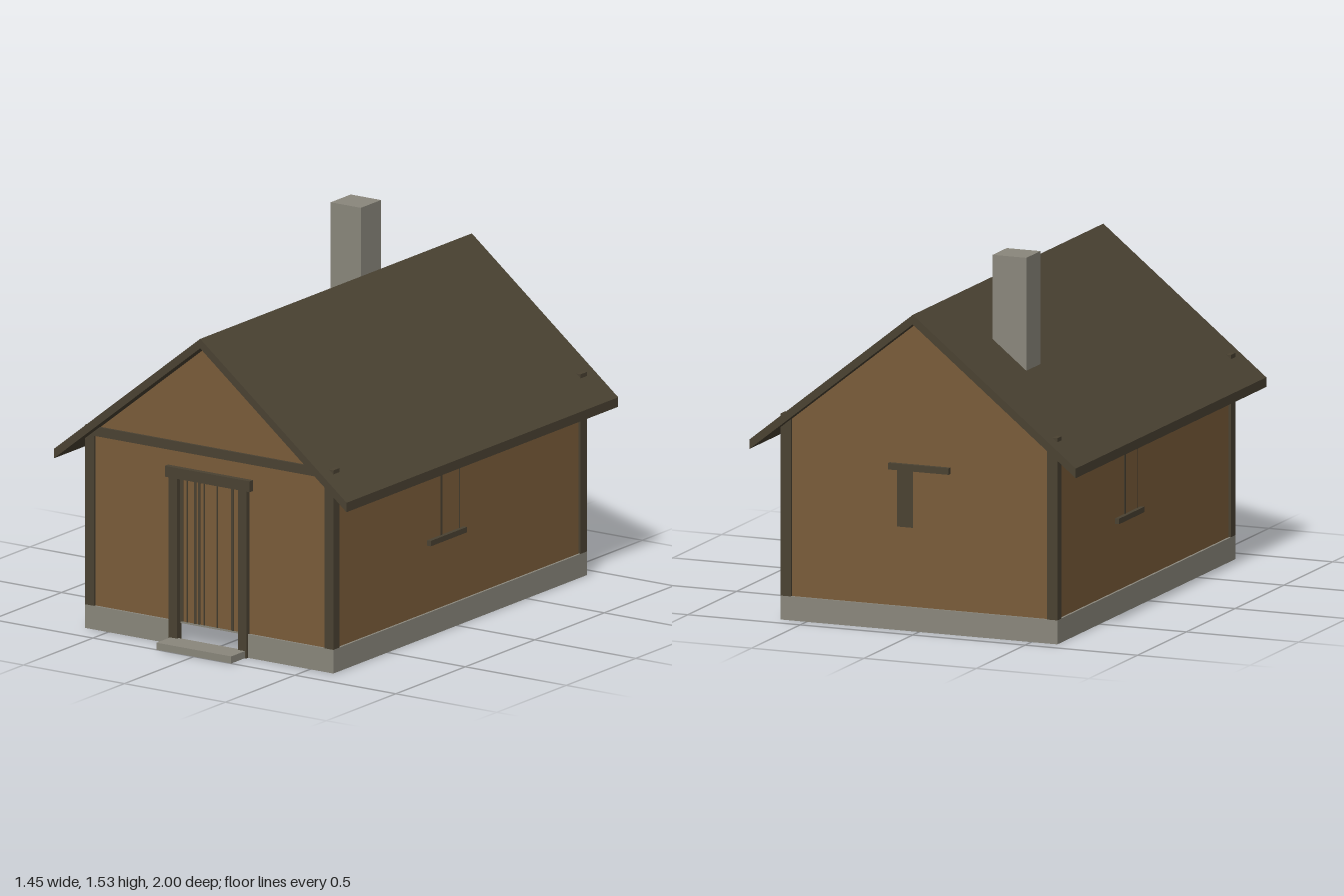
import * as THREE from 'three';

const mat = (name, color) => {
  const m = new THREE.MeshStandardMaterial({ color });
  m.name = name;
  return m;
};

export function createModel() {
  const house = new THREE.Group();
  house.name = 'cottage';
  const plaster = mat('ochreWall', 0x7a5c3a);
  const timber = mat('darkTimber', 0x4a4232);
  const stone = mat('greyStone', 0x8a877c);

  // Box given by its minimum and maximum corners
  const box = (name, m, x0, x1, y0, y1, z0, z1) => {
    const mesh = new THREE.Mesh(new THREE.BoxGeometry(x1 - x0, y1 - y0, z1 - z0), m);
    mesh.position.set((x0 + x1) / 2, (y0 + y1) / 2, (z0 + z1) / 2);
    mesh.name = name;
    house.add(mesh);
  };
  // Outline in x and y, run along z
  const prism = (name, m, points, z0, z1) => {
    const shape = new THREE.Shape(points.map(([x, y]) => new THREE.Vector2(x, y)));
    const geo = new THREE.ExtrudeGeometry(shape, { depth: z1 - z0, bevelEnabled: false });
    const mesh = new THREE.Mesh(geo, m);
    mesh.position.z = z0;
    mesh.name = name;
    house.add(mesh);
  };

  const front = 0.89, back = -0.935, side = 0.615;

  // Hollow foundation with a gap under the door, and the floor above it
  const t = 0.015;
  box('foundationBack', stone, -side, side, 0, 0.1, back, back + t);
  for (const s of [-1, 1]) {
    const [a, b] = [s * side, s * (side - t)].sort((p, q) => p - q);
    box('foundationSide', stone, a, b, 0, 0.1, back + t, front - t);
    const [c, d] = [s * 0.155, s * side].sort((p, q) => p - q);
    box('foundationFront', stone, c, d, 0, 0.1, front - t, front);
  }
  box('floor', stone, -side + t, side - t, 0.09, 0.1, back + t, front - t);
  box('doorStep', stone, -0.185, 0.185, 0, 0.03, front, 1);

  // Walls with gables
  prism('walls', plaster,
    [[-0.605, 0.1], [0.605, 0.1], [0.605, 0.82], [0, 1.3], [-0.605, 0.82]],
    back + 0.01, front - 0.01);

  // Corner posts, just breaking through the roof
  for (const s of [-1, 1]) {
    const [a, b] = [s * 0.57, s * side].sort((p, q) => p - q);
    box('cornerPostFront', timber, a, b, 0.1, 0.86, front - 0.045, front);
    box('cornerPostBack', timber, a, b, 0.1, 0.86, back, back + 0.045);
  }
  box('gableBeam', timber, -0.57, 0.57, 0.82, 0.86, front - 0.04, front);

  // Roof with plumb-cut eaves
  prism('roof', timber,
    [[-0.725, 0.715], [0, 1.295], [0.725, 0.715], [0.725, 0.755], [0, 1.335], [-0.725, 0.755]],
    -1, 0.955);
  box('chimney', stone, -0.345, -0.195, 0.95, 1.53, -0.63, -0.485);

  // Door frame and dark plank joints
  for (const s of [-1, 1]) {
    const [a, b] = [s * 0.152, s * 0.193].sort((p, q) => p - q);
    box('doorPost', timber, a, b, 0, 0.71, front - 0.02, front + 0.012);
  }
  box('doorLintel', timber, -0.21, 0.21, 0.707, 0.753, front - 0.02, front + 0.014);
  for (const [x, w] of [[-0.142, 0.015], [-0.115, 0.006], [-0.075, 0.01], [-0.055, 0.008], [-0.03, 0.005], [0.035, 0.005], [0.11, 0.012]])
    box('doorPlankJoint', timber, x - w / 2, x + w / 2, 0.1, 0.705, front - 0.012, front - 0.007);

  // Side windows: lintel, sill and shutter joints
  for (const [s, zc] of [[1, 0.07], [-1, -0.19]]) {
    const [a, b] = [s * 0.6, s * 0.623].sort((p, q) => p - q);
    box('windowLintel', timber, a, b, 0.668, 0.695, zc - 0.133, zc + 0.133);
    box('windowSill', timber, a, b, 0.382, 0.405, zc - 0.13, zc + 0.13);
    const [c, d] = [s * 0.603, s * 0.607].sort((p, q) => p - q);
    for (const [dz, w] of [[-0.1, 0.004], [0.03, 0.012]])
      box('shutterJoint', timber, c, d, 0.405, 0.668, zc + s * dz - w / 2, zc + s * dz + w / 2);
  }

  // Back window
  box('backLintel', timber, -0.135, 0.135, 0.668, 0.695, back - 0.008, back + 0.02);
  box('backShutter', timber, 0.03, 0.1, 0.43, 0.668, back + 0.007, back + 0.012);

  return house;
}
